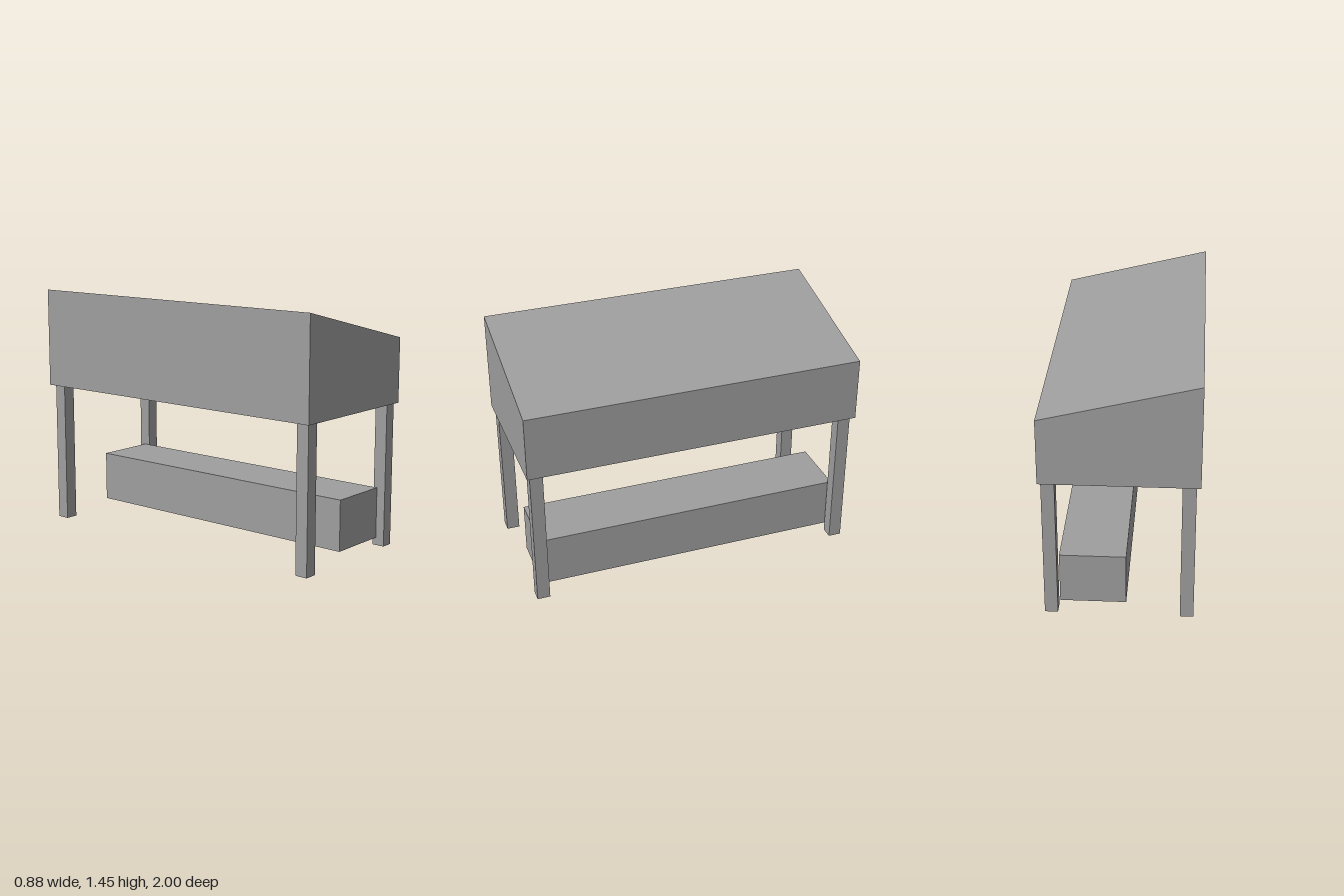
import * as THREE from 'three';

const material = new THREE.MeshStandardMaterial({ color: 0x9e9e9e, flatShading: true });

// Box given by its minimum and maximum corners
function box(name, [x0, y0, z0], [x1, y1, z1]) {
  const mesh = new THREE.Mesh(new THREE.BoxGeometry(x1 - x0, y1 - y0, z1 - z0), material);
  mesh.position.set((x0 + x1) / 2, (y0 + y1) / 2, (z0 + z1) / 2);
  mesh.name = name;
  return mesh;
}

// Profile in x and y, extruded from z0 to z1
function prism(name, points, z0, z1) {
  const shape = new THREE.Shape(points.map(([x, y]) => new THREE.Vector2(x, y)));
  const geometry = new THREE.ExtrudeGeometry(shape, { depth: z1 - z0, bevelEnabled: false });
  geometry.translate(0, 0, z0);
  const mesh = new THREE.Mesh(geometry, material);
  mesh.name = name;
  return mesh;
}

export function createModel() {
  const model = new THREE.Group();
  model.name = 'slopedDesk';

  const xL = -0.4375, xR = 0.4375; // high and low sides
  const base = 0.85, high = 1.445, low = 1.23;
  const wall = 0.045, roof = 0.03;
  const topAt = (x) => high + ((low - high) * (x - xL)) / (xR - xL);

  // Hollow cabinet, open underneath: sloped top with its two long walls
  const iL = xL + wall, iR = xR - wall;
  const cabinet = new THREE.Group();
  cabinet.name = 'cabinet';
  cabinet.add(prism('topAndLongWalls', [
    [xL, base], [iL, base], [iL, topAt(iL) - roof], [iR, topAt(iR) - roof],
    [iR, base], [xR, base], [xR, low], [xL, high],
  ], -1 + wall, 1 - wall));

  // End panels
  const end = [[xL, base], [xR, base], [xR, low], [xL, high]];
  cabinet.add(prism('frontPanel', end, 1 - wall, 1));
  cabinet.add(prism('backPanel', end, -1, -1 + wall));
  model.add(cabinet);

  // Legs rise inside the cabinet to the underside of the top
  const legs = [
    ['frontHighLeg', -0.414, -0.338, 0.906, 0.982, 0],
    ['backHighLeg', -0.414, -0.338, -0.971, -0.895, 0],
    ['frontLowLeg', 0.345, 0.416, 0.906, 0.982, 0.003],
    ['backLowLeg', 0.348, 0.422, -0.971, -0.895, 0.003],
  ];
  for (const [name, x0, x1, z0, z1, y0] of legs) {
    model.add(box(name, [x0, y0, z0], [x1, topAt(x1) - roof + 0.01, z1]));
  }

  // Long low box between the legs
  model.add(box('lowerBox', [-0.034, 0.05, -0.923], [0.339, 0.352, 0.932]));

  return model;
}
